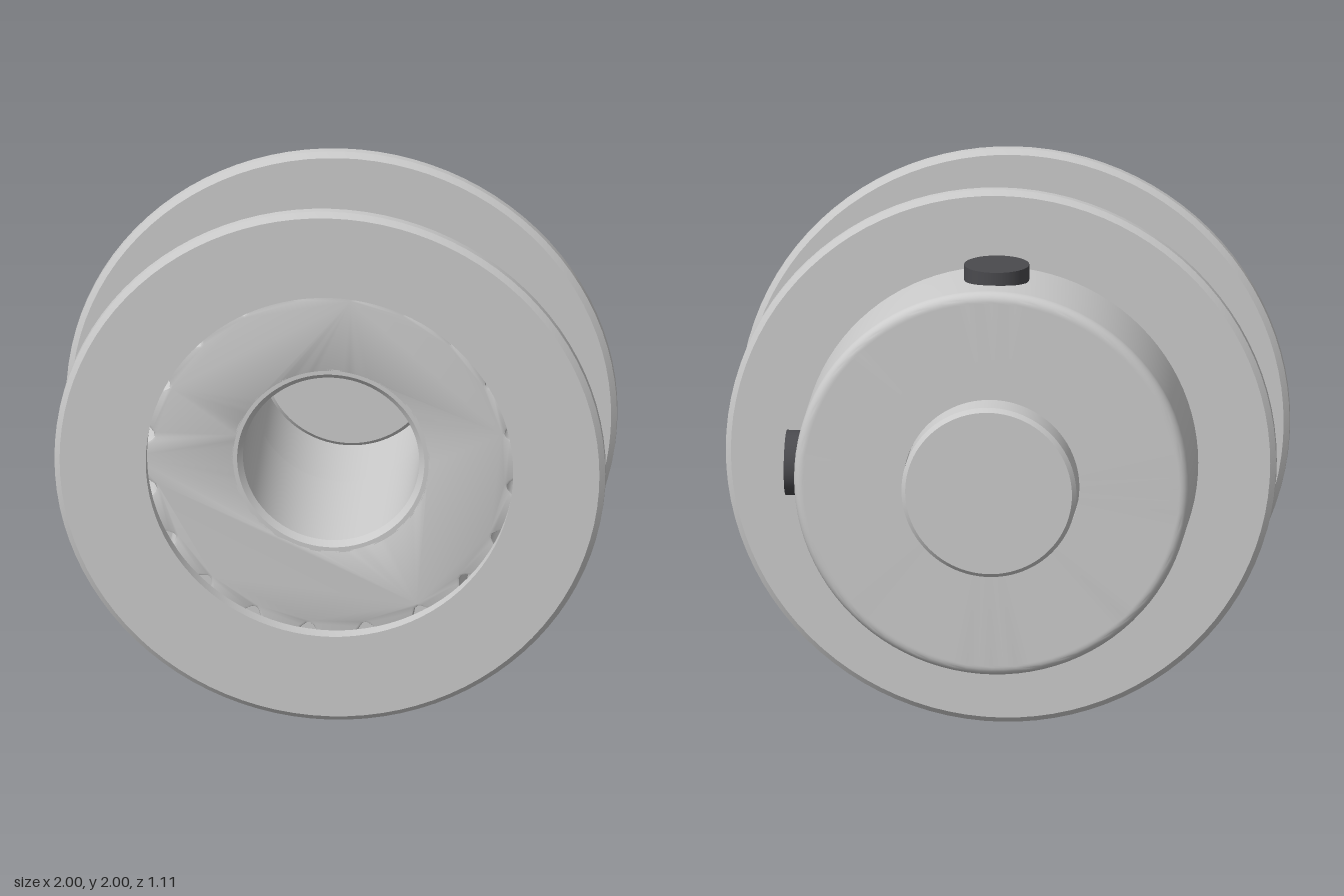
import * as THREE from 'three';
import { toCreasedNormals } from 'three/addons/utils/BufferGeometryUtils.js';

const TEETH = 20;
const BORE = 0.32;
const SEAT = 0.667; // radius of the flange openings
const FLANGE = 0.06; // flange thickness

const grey = new THREE.MeshStandardMaterial({ color: 0xcccccc });
const dark = new THREE.MeshStandardMaterial({ color: 0x4a4a4e });

export function createModel() {
  const model = new THREE.Group();
  const pulley = new THREE.Group();
  pulley.name = 'pulley';
  pulley.position.y = 1;
  model.add(pulley);

  function add(name, geometry, material = grey) {
    const mesh = new THREE.Mesh(geometry, material);
    mesh.name = name;
    pulley.add(mesh);
    return mesh;
  }

  // Turned part around the z axis; profile is [radius, z], outside from back to front
  function turned(name, profile) {
    const points = profile.map(([r, z]) => new THREE.Vector2(r, z));
    const geometry = new THREE.LatheGeometry(points, 96).rotateX(Math.PI / 2);
    return add(name, toCreasedNormals(geometry, 0.5));
  }

  // Toothed core between the flanges: broad rounded teeth, narrower valleys, softened ends
  const outline = [];
  const steps = TEETH * 16;
  for (let i = 0; i < steps; i++) {
    const a = (i / steps) * Math.PI * 2;
    const wave = Math.cos(TEETH * (a - THREE.MathUtils.degToRad(92)));
    const r = 0.694 + 0.049 * (wave + 0.25 * (1 - wave * wave));
    outline.push(new THREE.Vector2(Math.cos(a) * r, Math.sin(a) * r));
  }
  const core = new THREE.Shape(outline);
  core.holes.push(new THREE.Path().absarc(0, 0, 0.345, 0, Math.PI * 2, true));
  const soft = 0.01;
  const teeth = new THREE.ExtrudeGeometry(core, {
    depth: 0.495 - 2 * soft, curveSegments: 48,
    bevelThickness: soft, bevelSize: soft, bevelOffset: -soft, bevelSegments: 2,
  }).translate(0, 0, soft);
  add('toothedCore', toCreasedNormals(teeth, 0.7));

  // Thin flange rings with chamfered rims; the front opening shows the core end set back inside
  for (const [name, z] of [['frontFlange', 0.494], ['backFlange', -0.062]]) {
    turned(name, [
      [SEAT, z], [0.98, z], [1, z + 0.016],
      [1, z + FLANGE - 0.016], [0.98, z + FLANGE], [SEAT, z + FLANGE], [SEAT, z],
    ]);
  }

  // Bore lining with a chamfered mouth, level with the core end
  turned('boreLining', [
    [0.36, -0.066], [0.36, 0.495], [0.34, 0.495], [BORE, 0.475], [BORE, -0.066],
  ]);

  // Clamping hub with a rounded back edge
  const hub = [[BORE, -0.445], [0.68, -0.445], [0.685, -0.445]];
  for (let i = 1; i <= 6; i++) {
    const a = (i / 6) * Math.PI / 2;
    hub.push([0.685 + 0.035 * Math.sin(a), -0.41 - 0.035 * Math.cos(a)]);
  }
  hub.push([0.72, -0.405], [0.72, -0.08], [0.706, -0.066], [BORE, -0.066], [BORE, -0.445]);
  turned('hub', hub);

  // Shaft stub closing the back of the bore
  turned('shaftStub', [
    [0, -0.56], [0.303, -0.56], [0.318, -0.545], [0.318, -0.395], [0.303, -0.38], [0, -0.38],
  ]);

  // Two set screws at right angles
  const screw = () => new THREE.CylinderGeometry(0.118, 0.118, 0.2, 48);
  add('topSetScrew', screw(), dark).position.set(0, 0.668, -0.222);
  const side = add('sideSetScrew', screw(), dark);
  side.rotation.z = -Math.PI / 2;
  side.position.set(0.664, 0.005, -0.222);

  return model;
}
